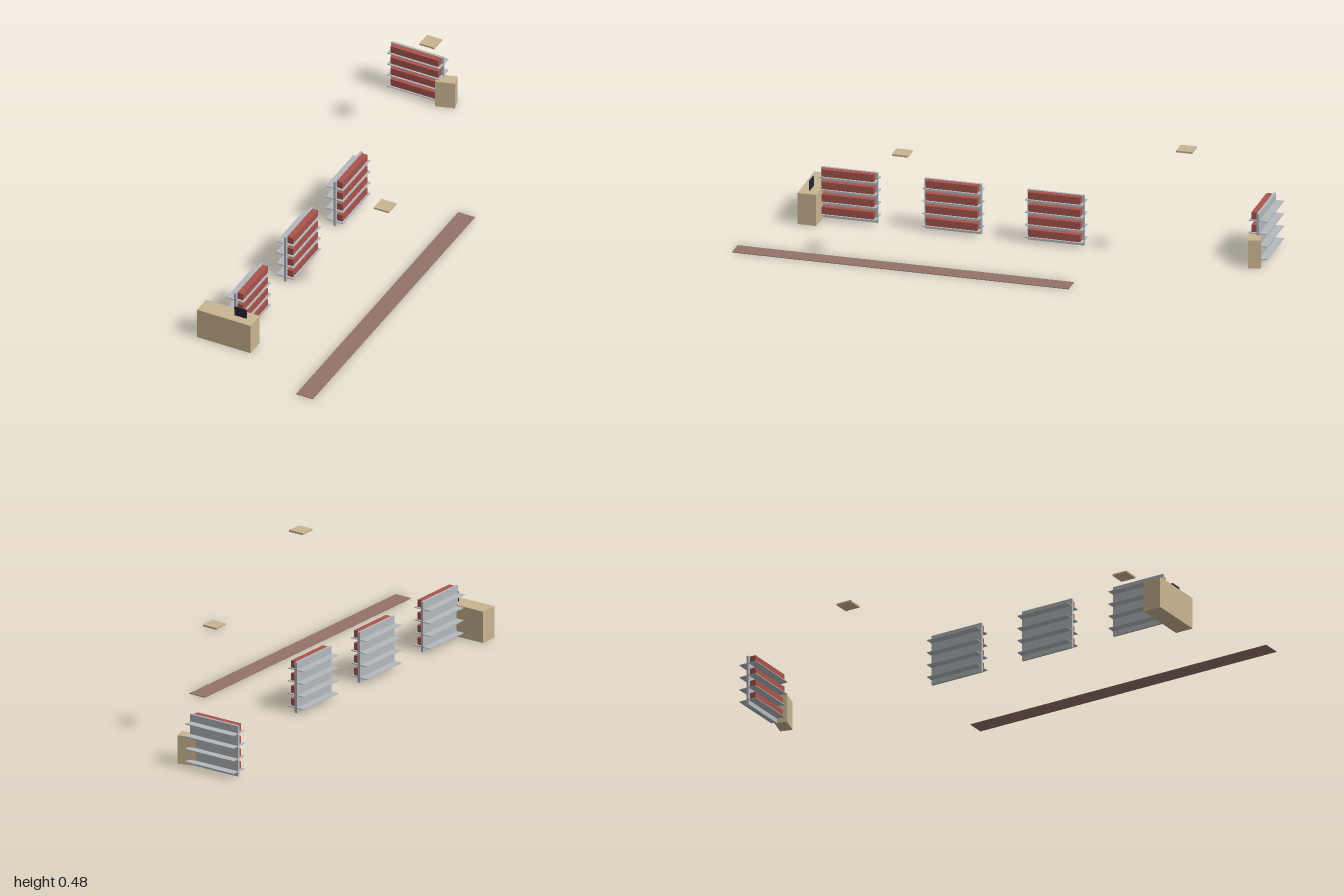
import * as THREE from 'three';

const mat = (name, color) => {
  const m = new THREE.MeshStandardMaterial({ color });
  m.name = name;
  return m;
};

export function createModel() {
  const model = new THREE.Group();
  model.name = 'libraryFurniture';
  const grey = mat('shelfGrey', 0xb4b8bc);
  const red = mat('bookRed', 0xa8544c);
  const wood = mat('paleWood', 0xc8b491);
  const brown = mat('runnerBrown', 0x93736a);
  const dark = mat('screenDark', 0x24262f);

  // Box placed by its centre in x and z and by its underside in y
  function box(parent, name, material, w, h, d, x, y, z) {
    const mesh = new THREE.Mesh(new THREE.BoxGeometry(w, h, d), material);
    mesh.name = name;
    mesh.position.set(x, y + h / 2, z);
    parent.add(mesh);
    return mesh;
  }

  // Bookcase facing +z: upright panel, shelves on both sides, books in front
  function bookcase(x, z, turn) {
    const unit = new THREE.Group();
    unit.name = 'bookcase';
    box(unit, 'uprightPanel', grey, 0.227, 0.206, 0.01, 0, 0, 0);
    for (let i = 0; i < 4; i++) {
      const y = 0.019 + i * 0.0515;
      box(unit, 'shelf', grey, 0.227, 0.003, 0.074, 0, y, 0);
      box(unit, 'bookRow', red, 0.207, 0.029, 0.025, 0, y + 0.003, 0.0165);
    }
    unit.position.set(x, 0, z);
    unit.rotation.y = turn;
    model.add(unit);
  }
  for (const z of [-0.16, 0.25, 0.663]) bookcase(-0.11, z, Math.PI / 2);
  bookcase(-0.228, -0.963, 0);

  // Service desk and its screen
  box(model, 'serviceDesk', wood, 0.231, 0.128, 0.075, -0.124, 0, 0.805);
  box(model, 'screen', dark, 0.051, 0.039, 0.005, -0.0715, 0.128, 0.805);

  // Turned cabinet beside the rear bookcase
  const cabinet = box(model, 'cabinet', wood, 0.077, 0.116, 0.05, -0.1, 0, -0.954);
  cabinet.rotation.y = 0.28;

  // Floating ceiling panels
  for (const [x, z] of [[-0.036, -0.701], [0.306, 0.332]]) {
    box(model, 'ceilingPanel', wood, 0.064, 0.007, 0.064, x, 0.469, z);
  }

  // Long floor runner
  box(model, 'floorRunner', brown, 0.072, 0.0025, 1.342, 0.306, 0, 0.329);

  return model;
}
